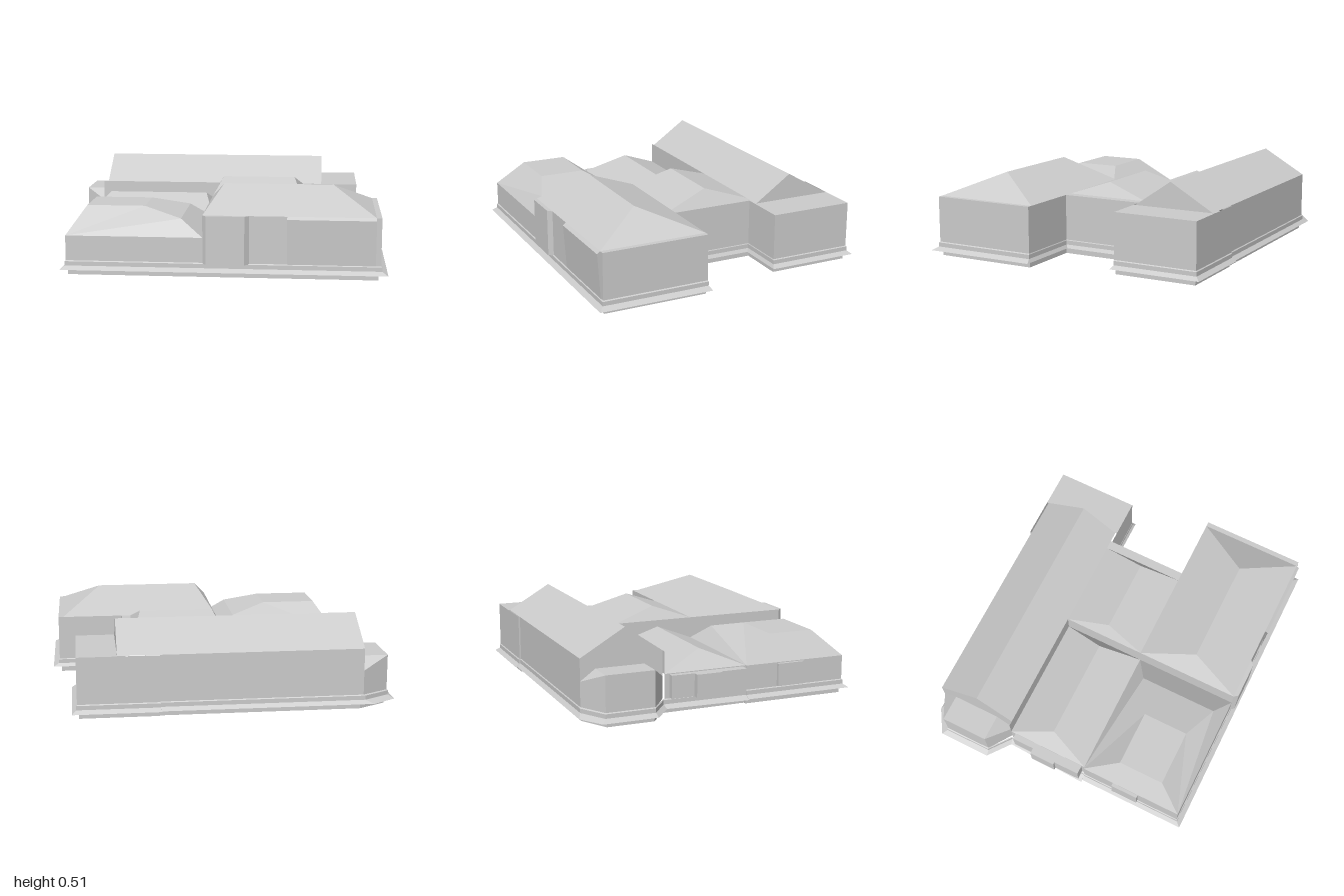
import * as THREE from 'three';

const material = new THREE.MeshStandardMaterial({
  color: 0xcccccc, flatShading: true, side: THREE.DoubleSide,
});
const EAVE = 0.36, LOW = 0.23, FOOT = 0.08;

// Flat-shaded mesh from planar polygons; faceUp turns every polygon skyward.
function polygons(name, faces, faceUp = false) {
  const pos = [];
  for (const face of faces) {
    const p = face.map((c) => new THREE.Vector3(...c));
    for (let i = 1; i < p.length - 1; i++) {
      const tri = [p[0], p[i], p[i + 1]];
      const n = tri[1].clone().sub(tri[0]).cross(tri[2].clone().sub(tri[0]));
      if (faceUp && n.y < 0) tri.reverse();
      tri.forEach((v) => pos.push(v.x, v.y, v.z));
    }
  }
  const g = new THREE.BufferGeometry();
  g.setAttribute('position', new THREE.Float32BufferAttribute(pos, 3));
  g.computeVertexNormals();
  const mesh = new THREE.Mesh(g, material);
  mesh.name = name;
  return mesh;
}

// Vertical wall along [x, z] points; top is one height or one per point.
function wall(name, pts, bottom, top) {
  const h = (i) => (Array.isArray(top) ? top[i] : top);
  const faces = [];
  for (let i = 0; i < pts.length - 1; i++) {
    const [ax, az] = pts[i], [bx, bz] = pts[i + 1];
    faces.push([[ax, bottom, az], [bx, bottom, bz], [bx, h(i + 1), bz], [ax, h(i), az]]);
  }
  return polygons(name, faces);
}

// Hipped roof: eave rectangle x0..x1, z0..z1 and ridge r0..r1 at zr.
function hipRoof(name, x0, x1, z0, z1, eave, r0, r1, zr, ridge) {
  const a = [x0, eave, z0], b = [x1, eave, z0], c = [x1, eave, z1], d = [x0, eave, z1];
  const e = [r0, ridge, zr], f = [r1, ridge, zr];
  return polygons(name, [[d, c, f, e], [b, a, e, f], [a, d, e], [c, b, f]], true);
}

// Level roof strip
const flat = (name, x0, x1, z0, z1, y) =>
  polygons(name, [[[x0, y, z0], [x0, y, z1], [x1, y, z1], [x1, y, z0]]], true);

function box(name, x0, x1, y0, y1, z0, z1) {
  const m = new THREE.Mesh(new THREE.BoxGeometry(x1 - x0, y1 - y0, z1 - z0), material);
  m.position.set((x0 + x1) / 2, (y0 + y1) / 2, (z0 + z1) / 2);
  m.name = name;
  return m;
}

// Moulded plinth swept round the plan: each corner is wall x, z then flare x, z.
function plinth() {
  const plan = [
    [-0.84, 0.82, -0.87, 0.855], [0.96, 0.82, 1, 0.855], [0.96, 0.18, 1, 0.165],
    [0.555, 0.18, 0.57, 0.165], [0.555, -0.32, 0.57, -0.305], [0.85, -0.32, 0.88, -0.305],
    [0.85, -0.83, 0.88, -0.86], [0.38, -0.83, 0.37, -0.86], [0.38, -0.82, 0.37, -0.848],
    [-0.8, -0.82, -0.86, -0.848], [-0.96, -0.73, -1, -0.76], [-0.96, -0.44, -1, -0.435],
    [-0.83, -0.34, -0.865, -0.33], [-0.83, 0.18, -0.885, 0.18], [-0.84, 0.18, -0.87, 0.18],
  ];
  // [outward fraction, height], top to bottom
  const profile = [[0, 0.085], [0.18, 0.08], [0.18, 0.055], [1, 0.035], [-0.3, 0.03], [-0.3, 0]];
  const at = ([wx, wz, ox, oz], [t, y]) => [wx + (ox - wx) * t, y, wz + (oz - wz) * t];
  const faces = [];
  plan.forEach((a, i) => {
    const b = plan[(i + 1) % plan.length];
    for (let j = 0; j < profile.length - 1; j++) {
      faces.push([at(a, profile[j + 1]), at(b, profile[j + 1]), at(b, profile[j]), at(a, profile[j])]);
    }
  });
  return polygons('plinth', faces);
}

// Front left hall: mansard-like roof that steps down to the right
function steppedRoof() {
  const a = [-0.84, LOW, 0.82], b = [-0.05, LOW, 0.82], c = [-0.05, LOW, 0.18], d = [-0.84, LOW, 0.18];
  const e = [-0.74, 0.38, 0.66], f = [-0.4, 0.38, 0.66], g = [-0.4, 0.38, 0.38], h = [-0.74, 0.38, 0.38];
  const m = [-0.18, 0.325, 0.745], n = [-0.18, 0.325, 0.265];
  return polygons('frontLeftRoof', [
    [e, f, g, h], [a, e, h, d], [f, m, n, g], [m, b, c, n],
    [a, b, m], [a, m, f, e], [d, c, n], [d, n, g, h],
  ], true);
}

// Back wing: gabled roof with upright ends
function gableRoof() {
  const x0 = -0.8, x1 = 0.62, zb = -0.82, zf = -0.33, zr = -0.555, top = 0.515;
  const group = new THREE.Group();
  group.name = 'backWingRoof';
  group.add(polygons('backWingSlopes', [
    [[x0, EAVE, zf], [x1, EAVE, zf], [x1, top, zr], [x0, top, zr]],
    [[x1, EAVE, zb], [x0, EAVE, zb], [x0, top, zr], [x1, top, zr]],
  ], true));
  group.add(polygons('backWingGables', [
    [[x1, EAVE, zf], [x1, EAVE, zb], [x1, top, zr]],
    [[x0, EAVE, zb], [x0, EAVE, zf], [x0, top, zr]],
  ]));
  return group;
}

// Low annex on the outer end of the back wing
function annex() {
  const group = new THREE.Group();
  group.name = 'backAnnex';
  const plan = [[-0.8, -0.82], [-0.96, -0.73], [-0.96, -0.44], [-0.8, -0.33]];
  group.add(wall('annexWalls', plan, FOOT, [LOW, 0.295, 0.295, 0.21]));
  const p = [-0.96, 0.295, -0.73], q = [-0.96, 0.295, -0.44];
  const r = [-0.8, 0.295, -0.44], s = [-0.8, 0.295, -0.73];
  group.add(polygons('annexRoof', [
    [p, q, r, s], [q, [-0.8, 0.21, -0.33], r], [p, s, [-0.8, LOW, -0.82]],
  ], true));
  return group;
}

export function createModel() {
  const model = new THREE.Group();
  model.name = 'building';
  model.add(plinth());

  // Outer walls
  model.add(wall('tallWalls', [
    [-0.05, 0.82], [0.96, 0.82], [0.96, 0.18], [0.555, 0.18], [0.555, -0.32],
    [0.85, -0.32], [0.85, -0.83], [0.38, -0.83], [0.38, -0.82], [-0.8, -0.82], [-0.8, -0.33],
  ], FOOT, EAVE));
  model.add(wall('lowWalls', [
    [-0.83, -0.33], [-0.83, 0.18], [-0.84, 0.18], [-0.84, 0.82], [-0.05, 0.82],
  ], FOOT, LOW));

  // Upper walls where the tall roofs rise above the low ones
  model.add(wall('upperWalls', [[-0.05, -0.33], [-0.05, 0.82]], LOW, EAVE));
  model.add(wall('backWingUpperWall', [[-0.83, -0.33], [-0.05, -0.33]], LOW, EAVE));

  // Roofs
  model.add(steppedRoof(), gableRoof(), annex());
  model.add(flat('backWingFlatRoof', 0.62, 0.85, -0.83, -0.32, EAVE));
  model.add(hipRoof('frontRightRoof', -0.05, 0.93, 0.18, 0.82, EAVE, 0.05, 0.69, 0.51, 0.495));
  model.add(flat('frontRightRoofEdge', 0.93, 0.96, 0.18, 0.82, EAVE));
  model.add(hipRoof('middleRightRoof', -0.05, 0.5, -0.33, 0.18, EAVE, 0, 0.45, -0.065, 0.445));
  model.add(flat('middleRightRoofEdge', 0.5, 0.555, -0.33, 0.18, EAVE));
  model.add(hipRoof('middleLeftRoof', -0.83, -0.05, -0.33, 0.18, LOW, -0.735, -0.115, -0.075, 0.335));

  // Entrance bay and leaning panel on the front
  const bay = [[-0.05, 0.82], [-0.03, 0.845], [0.19, 0.845], [0.215, 0.82]];
  model.add(wall('entranceBay', bay, FOOT, EAVE));
  model.add(polygons('entranceBayTop', [bay.map(([x, z]) => [x, EAVE, z])], true));
  const tl = [0.43, 0.345, 0.838], tr = [0.93, 0.345, 0.838];
  model.add(polygons('frontPanel', [
    [[0.43, FOOT, 0.821], [0.93, FOOT, 0.821], tr, tl],
    [tl, tr, [0.93, EAVE, 0.82], [0.43, EAVE, 0.82]],
  ]));

  // Shallow bays along the left-hand end
  for (const [x, z0, z1] of [[-0.9, -0.16, 0.0], [-0.885, 0.0, 0.16], [-0.865, -0.3, -0.16], [-0.86, 0.38, 0.55]]) {
    model.add(box('sideBay', x, -0.83, 0.09, 0.225, z0, z1));
  }
  return model;
}
